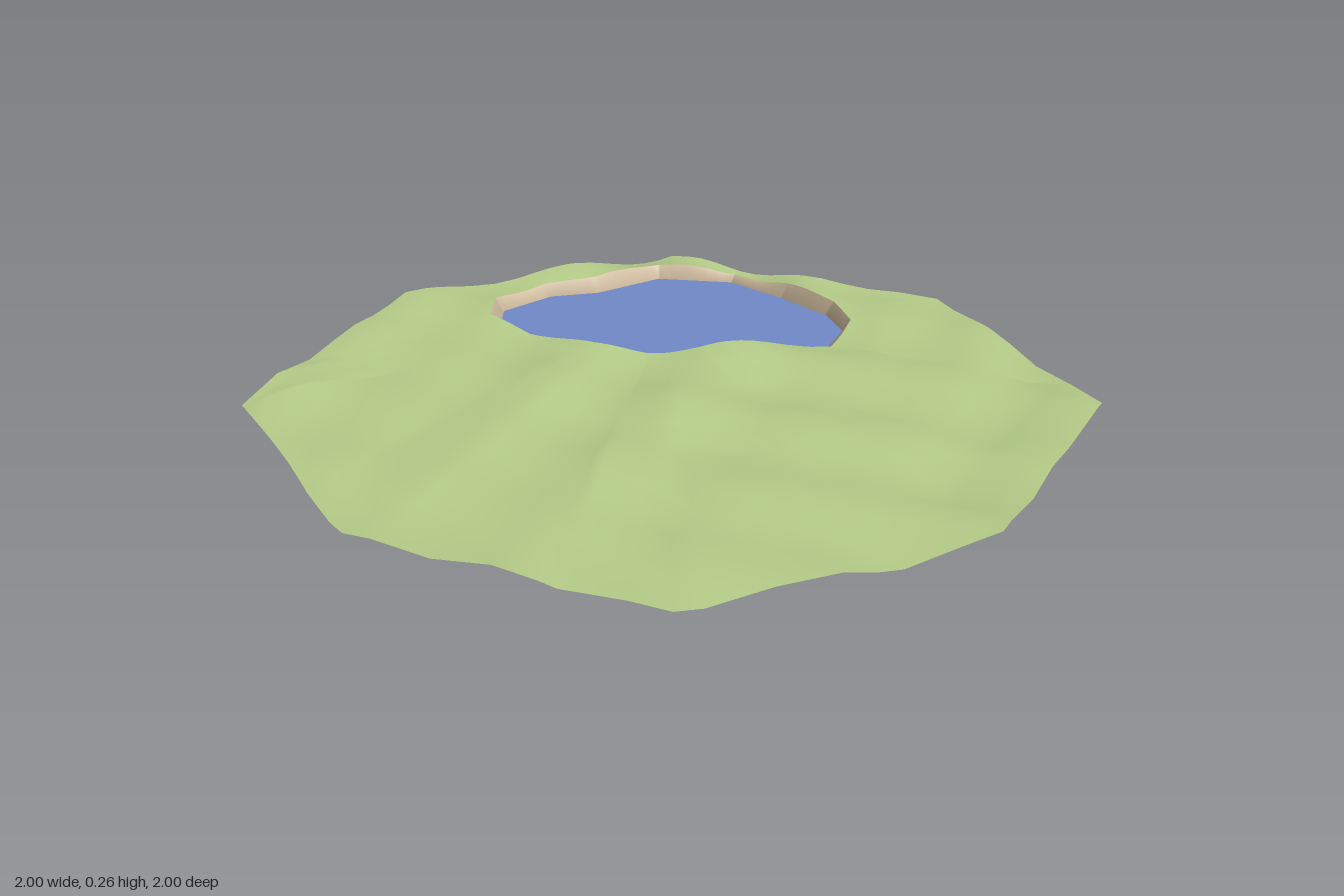
import * as THREE from 'three';

const CENTRE = [-0.43, -0.41];
const LAND = [[1, 0], [0.73, 0.73], [0, 1], [-0.73, 0.73], [-1, 0], [-0.73, -0.73], [0, -1], [0.73, -0.73]];
const SHORE = [[-0.80, -0.17], [-0.79, -0.33], [-0.72, -0.44], [-0.68, -0.63], [-0.52, -0.75], [-0.34, -0.76],
  [-0.17, -0.75], [-0.07, -0.70], [-0.01, -0.56], [-0.13, -0.38], [-0.20, -0.29], [-0.29, -0.21], [-0.40, -0.14],
  [-0.57, -0.08], [-0.71, -0.075]];
const WATER = [[-0.92, -0.12], [-0.69, -0.71], [-0.40, -0.80], [-0.12, -0.78], [0.04, -0.62], [-0.18, -0.14],
  [-0.50, -0.01], [-0.72, -0.02]];
const WATER_Y = 0.2;

// Where a ray from the pond centre meets a closed outline
function hit(outline, angle) {
  const dx = Math.cos(angle), dz = Math.sin(angle);
  let best = 0;
  outline.forEach(([px, pz], i) => {
    const [qx, qz] = outline[(i + 1) % outline.length];
    const ex = qx - px, ez = qz - pz, wx = px - CENTRE[0], wz = pz - CENTRE[1];
    const d = dx * ez - dz * ex;
    if (Math.abs(d) < 1e-9) return;
    const t = (wx * ez - wz * ex) / d, s = (wx * dz - wz * dx) / d;
    if (t > 0 && s > -1e-6 && s < 1 + 1e-6) best = Math.max(best, t);
  });
  return [CENTRE[0] + dx * best, CENTRE[1] + dz * best];
}

// Even spread of directions, plus every corner of the outlines
const ANGLES = [...LAND, ...SHORE].map(([x, z]) => Math.atan2(z - CENTRE[1], x - CENTRE[0]));
for (let i = 0; i < 64; i++) ANGLES.push(-Math.PI + (i + 0.5) * Math.PI / 32);
ANGLES.sort((a, b) => a - b);
const shorePts = ANGLES.map((a) => hit(SHORE, a));
const landPts = ANGLES.map((a) => hit(LAND, a));

const mix = (a, b, t) => a + (b - a) * t;

// Gentle lumps of the meadow
function landHeight(x, z) {
  const y = 0.231 - 0.008 * x
    + 0.011 * Math.sin(11 * x + 4 * z + 1) * Math.cos(9 * z - 3 * x)
    + 0.009 * Math.sin(17 * z + 6 * x + 2) + 0.006 * Math.cos(19 * x - 8 * z);
  return THREE.MathUtils.clamp(y, 0.202, 0.265);
}

// Lip of the pond, slightly outside the shore and always above water
function lip(j) {
  const [sx, sz] = shorePts[j], [lx, lz] = landPts[j];
  const gap = Math.hypot(lx - sx, lz - sz);
  const t = Math.min(0.4, 0.02 / gap);
  const x = mix(sx, lx, t), z = mix(sz, lz, t);
  return [x, Math.max(0.218, landHeight(x, z)), z];
}

// Smooth skin over rings of points, inner ring first, facing up
function skin(ringCount, point) {
  const n = ANGLES.length, pos = [], index = [];
  for (let r = 0; r < ringCount; r++) {
    for (let j = 0; j < n; j++) {
      pos.push(...point(r, j));
      if (r === ringCount - 1) continue;
      const a = r * n + j, b = r * n + (j + 1) % n;
      index.push(a, b, a + n, b, b + n, a + n);
    }
  }
  const g = new THREE.BufferGeometry();
  g.setAttribute('position', new THREE.Float32BufferAttribute(pos, 3));
  g.setIndex(index);
  g.computeVertexNormals();
  return g;
}

function addMesh(group, name, geometry, color) {
  const mesh = new THREE.Mesh(geometry, new THREE.MeshStandardMaterial({ color, side: THREE.DoubleSide }));
  mesh.name = name;
  group.add(mesh);
}

export function createModel() {
  const group = new THREE.Group();
  group.name = 'meadowWithPond';

  // Meadow from the pond lip out to the eight-sided edge
  const rings = 13;
  addMesh(group, 'meadow', skin(rings, (r, j) => {
    const [x0, y0, z0] = lip(j), [x1, z1] = landPts[j], t = r / (rings - 1);
    const x = mix(x0, x1, t), z = mix(z0, z1, t);
    return [x, mix(y0, landHeight(x, z), Math.min(1, t * 6)), z];
  }), 0xb5cc88);

  // Pond bed: deepest point, sloping floor, steep bank, lip
  const deep = [-0.51, 0, -0.35];
  addMesh(group, 'pondBed', skin(7, (r, j) => {
    if (r === 6) return lip(j);
    const [sx, sz] = shorePts[j];
    if (r === 5) return [sx, WATER_Y, sz];
    const fx = mix(CENTRE[0], sx, 0.96), fz = mix(CENTRE[1], sz, 0.96);
    const fy = 0.098 + 0.045 * fx - 0.035 * fz;
    const t = r / 4;
    return [mix(deep[0], fx, t), fy * t, mix(deep[2], fz, t)];
  }), 0xd2bea0);

  // Flat sheet of water, tucked under the meadow
  const sheet = new THREE.ShapeGeometry(new THREE.Shape(WATER.map(([x, z]) => new THREE.Vector2(x, -z))));
  sheet.rotateX(-Math.PI / 2).translate(0, WATER_Y, 0);
  addMesh(group, 'water', sheet, 0x7089c8);

  return group;
}
